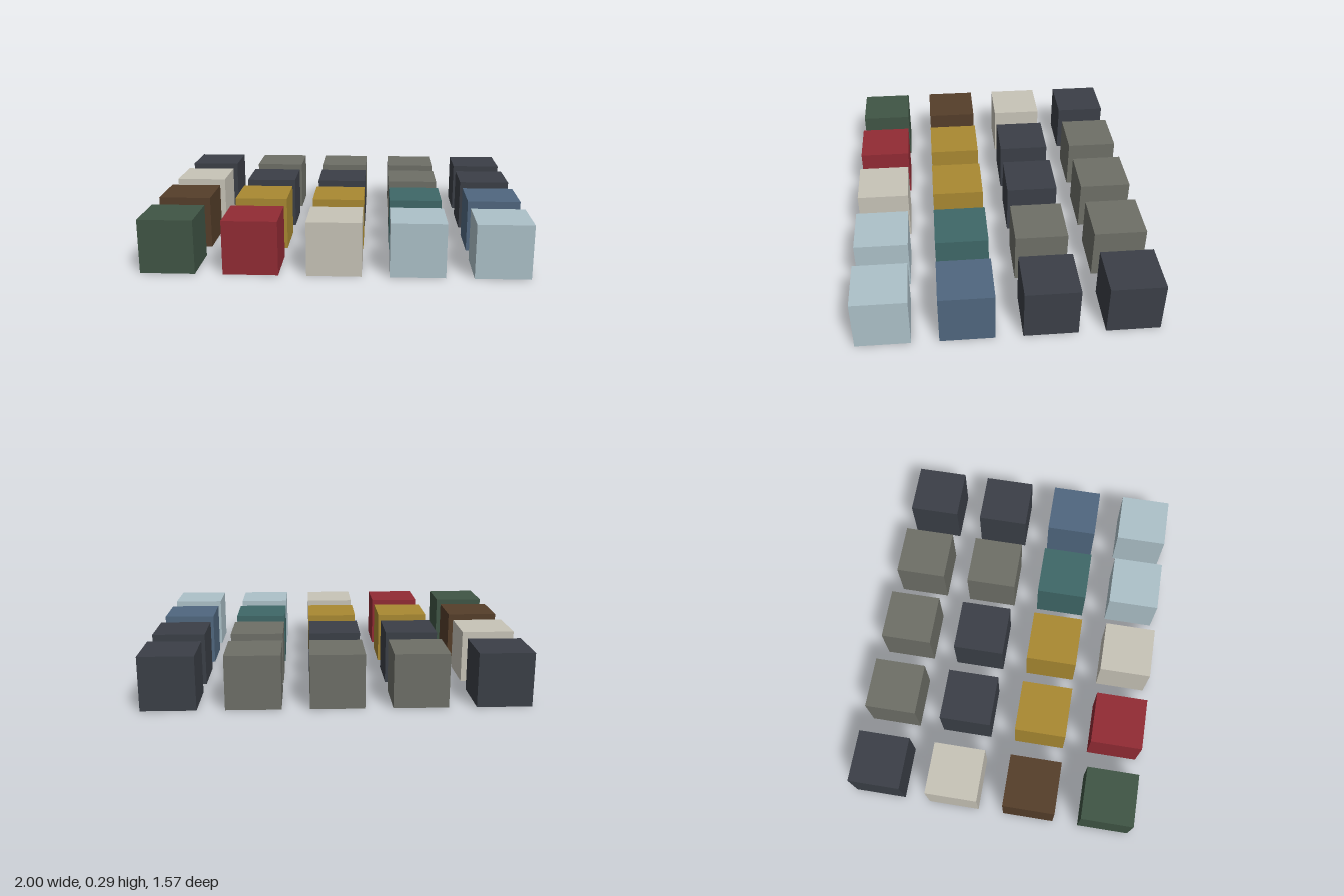
import * as THREE from 'three';

const COLORS = {
  charcoal: 0x3b3f47,
  stoneGrey: 0x6e6f67,
  cream: 0xc8c4b8,
  brown: 0x553e2a,
  ochre: 0xa98932,
  teal: 0x3f6868,
  slateBlue: 0x50677f,
  green: 0x405545,
  red: 0x922b34,
  paleBlue: 0xadc1c9,
};

// Colour of each cube, rows from back to front, columns from -x to +x
const LAYOUT = [
  ['charcoal', 'stoneGrey', 'stoneGrey', 'stoneGrey', 'charcoal'],
  ['cream', 'charcoal', 'charcoal', 'stoneGrey', 'charcoal'],
  ['brown', 'ochre', 'ochre', 'teal', 'slateBlue'],
  ['green', 'red', 'cream', 'paleBlue', 'paleBlue'],
];

const SIZE = 2 / 7;
const PITCH = SIZE * 1.5;

export function createModel() {
  const group = new THREE.Group();
  group.name = 'cubeGrid';

  const materials = {};
  for (const [name, color] of Object.entries(COLORS)) {
    materials[name] = new THREE.MeshStandardMaterial({ color });
    materials[name].name = name;
  }

  // Evenly spaced cubes standing on the ground
  const cube = new THREE.BoxGeometry(SIZE, SIZE, SIZE);
  LAYOUT.forEach((row, r) => row.forEach((color, c) => {
    const mesh = new THREE.Mesh(cube, materials[color]);
    mesh.name = `${color}Cube_row${r + 1}_column${c + 1}`;
    mesh.position.set((c - 2) * PITCH, SIZE / 2, (r - 1.5) * PITCH);
    group.add(mesh);
  }));

  return group;
}
